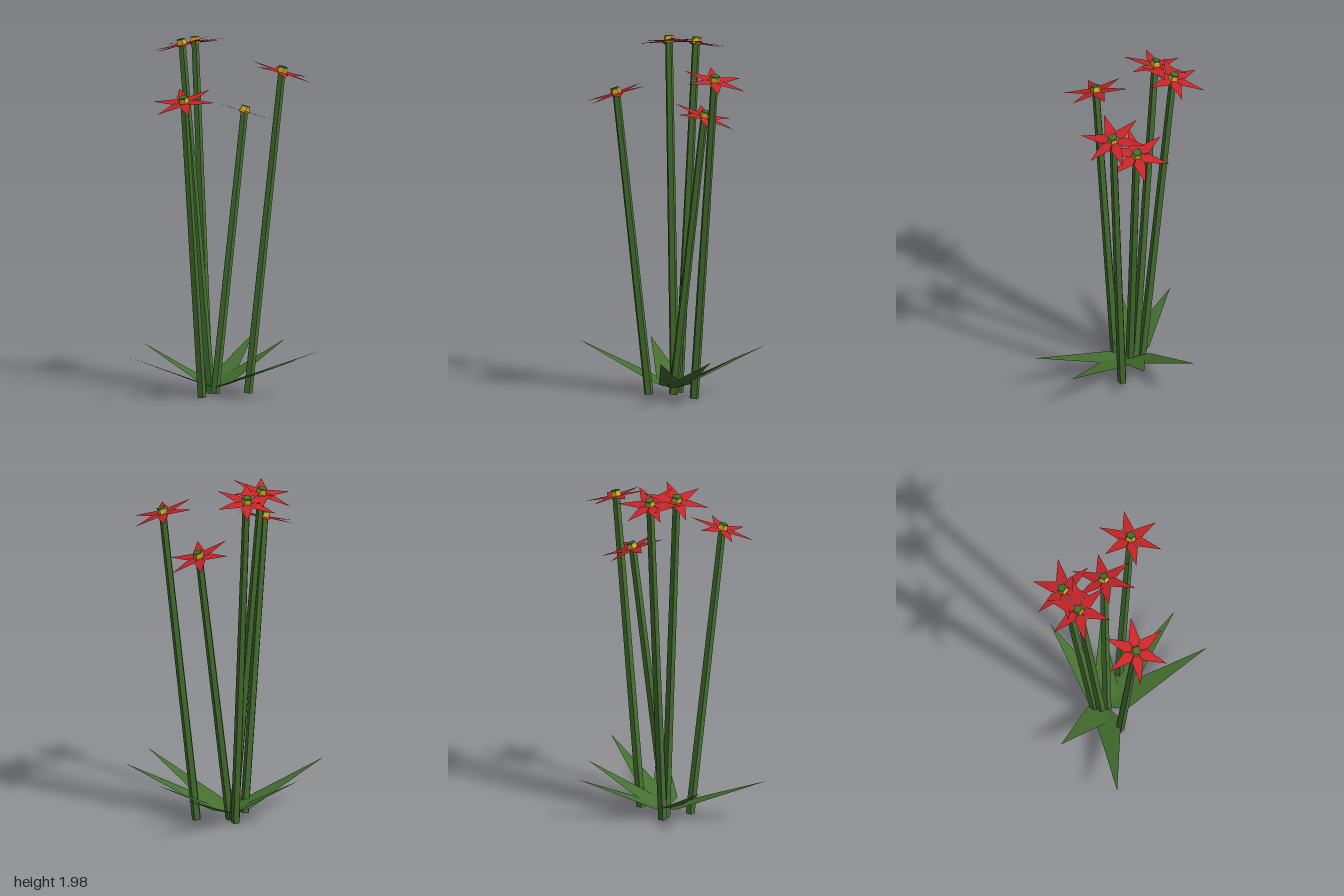
import * as THREE from 'three';

const UP = new THREE.Vector3(0, 1, 0);

// Flat pointed blade lying on the ground plane and running along -z
function blade(length, shoulder, halfWidth) {
  const s = new THREE.Shape();
  s.moveTo(0, 0);
  s.lineTo(halfWidth, shoulder);
  s.lineTo(0, length);
  s.lineTo(-halfWidth, shoulder);
  return new THREE.ShapeGeometry(s).rotateX(-Math.PI / 2);
}

export function createModel() {
  const mat = (name, color, side = THREE.FrontSide) => {
    const m = new THREE.MeshStandardMaterial({ color, side });
    m.name = name;
    m.flatShading = true;
    return m;
  };
  const green = mat('leaf green', 0x457030, THREE.DoubleSide);
  const red = mat('petal red', 0xcc2428, THREE.DoubleSide);
  const yellow = mat('centre yellow', 0xd4a51f);

  const model = new THREE.Group();
  model.name = 'flowerClump';
  const add = (parent, name, geometry, material) => {
    const mesh = new THREE.Mesh(geometry, material);
    mesh.name = name;
    parent.add(mesh);
    return mesh;
  };

  // Flowers: stem base x, z and blossom centre x, y, z
  const flowers = [
    [-0.01, -0.20, 0.085, 1.79, -0.36],
    [-0.10, -0.04, -0.085, 1.56, -0.23],
    [-0.165, -0.045, -0.335, 1.925, -0.078],
    [-0.13, -0.035, -0.272, 1.935, 0.057],
    [-0.05, 0.085, 0.012, 1.675, 0.252],
  ];
  const petalGeo = blade(0.185, 0.06, 0.032);
  const centreGeo = new THREE.CylinderGeometry(0.025, 0.033, 0.035, 5);
  const capGeo = new THREE.CylinderGeometry(0.026, 0.026, 0.008, 5);

  for (const [bx, bz, x, y, z] of flowers) {
    const base = new THREE.Vector3(bx, 0.004, bz);
    const top = new THREE.Vector3(x, y, z);
    const along = top.clone().sub(base);
    const stem = add(model, 'stem', new THREE.CylinderGeometry(0.022, 0.026, along.length(), 5), green);
    stem.position.copy(base).lerp(top, 0.5);
    stem.quaternion.setFromUnitVectors(UP, along.clone().normalize());

    // The blossom leans about three times as far as its stem
    const blossom = new THREE.Group();
    blossom.name = 'blossom';
    blossom.position.copy(top);
    const facing = new THREE.Vector3(3 * along.x / along.y, 1, 3 * along.z / along.y).normalize();
    blossom.quaternion.setFromUnitVectors(UP, facing);
    model.add(blossom);
    for (let i = 0; i < 6; i++) {
      add(blossom, 'petal', petalGeo, red).rotation.y = i * Math.PI / 3;
    }
    add(blossom, 'flowerCentre', centreGeo, yellow).position.y = 0.01;
    add(blossom, 'stemTip', capGeo, green).position.y = 0.028;
  }

  // Rosette of leaves rising from one root to their tips
  const root = new THREE.Vector3(-0.1, 0.035, -0.04);
  const tips = [[0.487, -0.206], [0.347, -0.445], [-0.055, -0.485], [-0.338, -0.485], [-0.4, 0.217], [-0.14, 0.535]];
  for (const [x, z] of tips) {
    const d = new THREE.Vector3(x, 0.267, z).sub(root);
    const leaf = add(model, 'leaf', blade(d.length(), 0.095, 0.07), green);
    leaf.position.copy(root);
    leaf.rotation.set(Math.atan2(d.y, Math.hypot(d.x, d.z)), Math.atan2(-d.x, -d.z), 0, 'YXZ');
  }
  return model;
}
